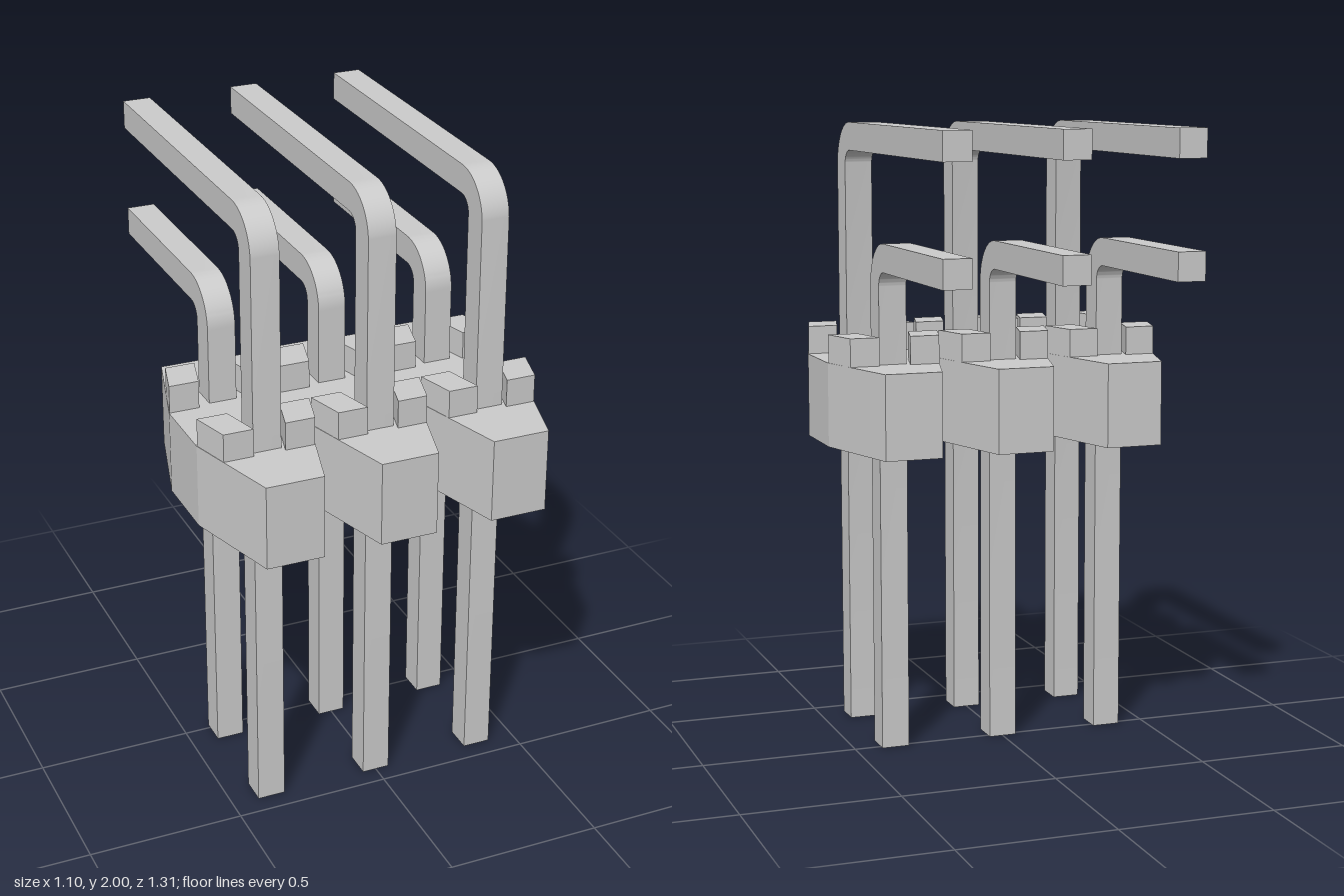
import * as THREE from 'three';
import { toCreasedNormals } from 'three/addons/utils/BufferGeometryUtils.js';

const PITCH = 0.368, COLUMNS = [-PITCH, 0, PITCH];
const PIN = 0.09, BEND = 0.14, PIN_END = -0.655;
const BODY_BOTTOM = 0.98, BODY_TOP = 1.25, BUMP_TOP = 1.34;
const material = new THREE.MeshStandardMaterial({ color: 0xcccccc });

// Upright prism from [x, z] plan points
function prism(points, y0, y1) {
  const shape = new THREE.Shape(points.map(([x, z]) => new THREE.Vector2(x, -z)));
  const geo = new THREE.ExtrudeGeometry(shape, { depth: y1 - y0, bevelEnabled: false });
  return geo.rotateX(-Math.PI / 2).translate(0, y0, 0);
}

// Square pin: up from the ground, round the bend, then straight back
function pinGeometry(frontZ, top) {
  const u = -frontZ, end = -PIN_END, s = new THREE.Shape();
  s.moveTo(u, 0);
  s.lineTo(u + PIN, 0);
  s.lineTo(u + PIN, top - BEND);
  s.absarc(u + BEND, top - BEND, BEND - PIN, Math.PI, Math.PI / 2, true);
  s.lineTo(end, top - PIN);
  s.lineTo(end, top);
  s.lineTo(u + BEND, top);
  s.absarc(u + BEND, top - BEND, BEND, Math.PI / 2, Math.PI, false);
  const geo = new THREE.ExtrudeGeometry(s, { depth: PIN, bevelEnabled: false, curveSegments: 12 });
  geo.rotateY(Math.PI / 2).translate(-PIN / 2, 0, 0);
  return toCreasedNormals(geo, 0.5);
}

export function createModel() {
  const group = new THREE.Group();
  const add = (name, geo, x = 0) => {
    const mesh = new THREE.Mesh(geo, material);
    mesh.name = name;
    mesh.position.x = x;
    group.add(mesh);
  };

  // Housing: three tapered cells joined at their waists
  const frontEdge = [], backEdge = [];
  for (const x of COLUMNS) {
    frontEdge.push([x - 0.183, 0.328], [x - 0.092, 0.654], [x + 0.092, 0.654], [x + 0.183, 0.328]);
    backEdge.push([x - 0.183, 0.088], [x - 0.092, -0.236], [x + 0.092, -0.236], [x + 0.183, 0.088]);
  }
  add('housing', prism([...frontEdge, ...backEdge.reverse()], BODY_BOTTOM, BODY_TOP));

  // Slanted standoff bumps, four per cell
  for (const x of COLUMNS) {
    for (const side of [-1, 1]) {
      for (const [wide, narrow] of [[0.328, 0.457], [0.088, -0.042]]) {
        const plan = [[0.181, wide], [0.146, narrow], [0.05, narrow], [0.084, wide]]
          .map(([px, z]) => [px * side, z]);
        add('standoff', prism(plan, BODY_TOP, BUMP_TOP), x);
      }
    }
  }

  // Two rows of right-angle pins
  const tall = pinGeometry(0.437, 2), short = pinGeometry(0.072, 1.635);
  for (const x of COLUMNS) {
    add('tallPin', tall, x);
    add('shortPin', short, x);
  }
  return group;
}
